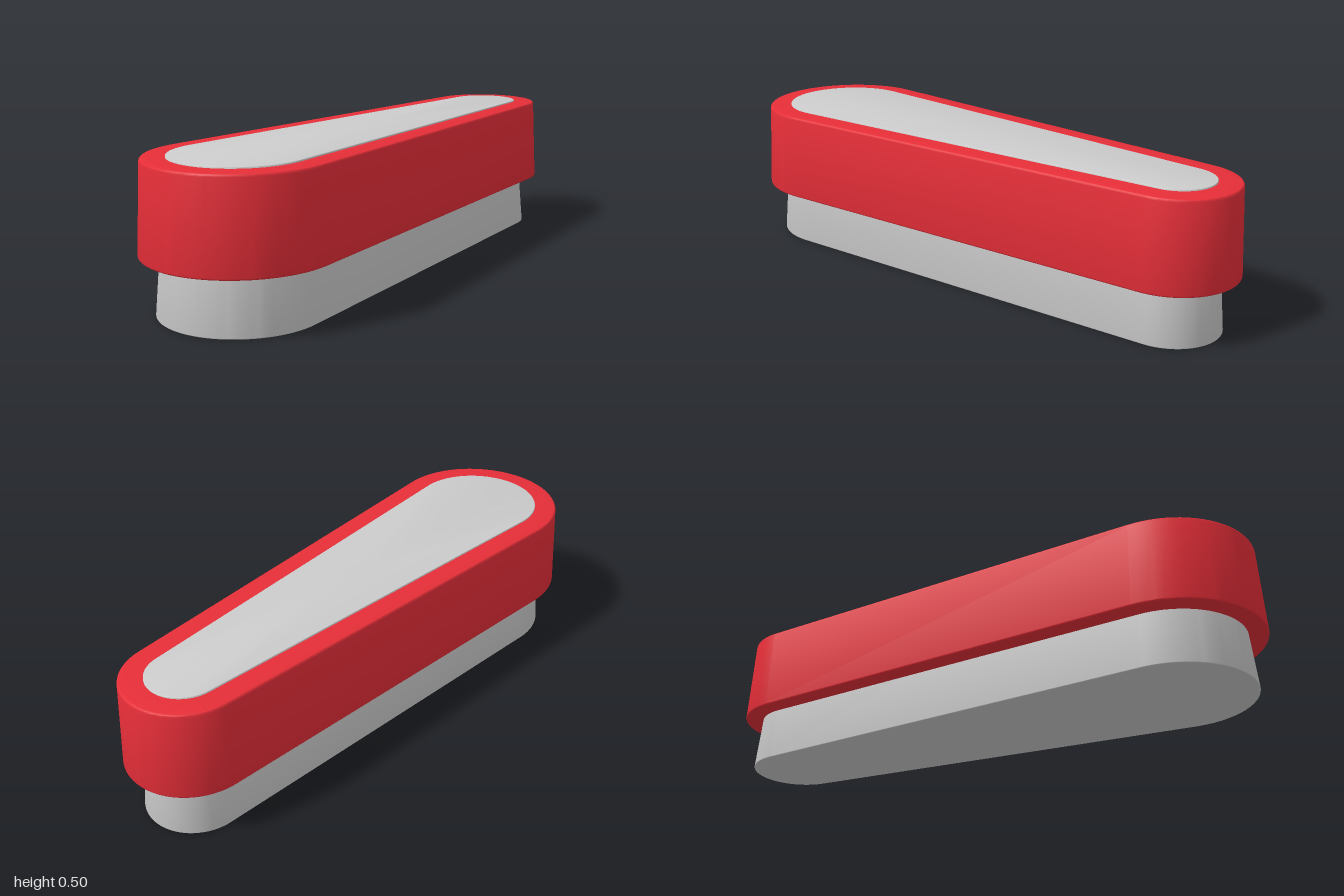
import * as THREE from 'three';
import { toCreasedNormals } from 'three/addons/utils/BufferGeometryUtils.js';

// Tapered capsule outline: a big round end at -x and a small one at +x
const BIG = { x: -0.685, r: 0.315 };
const SMALL = { x: 0.785, r: 0.215 };
const ARC = 40;

function outline(inset) {
  const lean = Math.asin((BIG.r - SMALL.r) / (SMALL.x - BIG.x));
  const half = Math.PI / 2 - lean;
  const points = [];
  const arc = (end, from, to) => {
    for (let i = 0; i <= ARC; i++) {
      const t = from + (to - from) * i / ARC;
      points.push([end.x + (end.r - inset) * Math.cos(t), -(end.r - inset) * Math.sin(t)]);
    }
  };
  arc(SMALL, -half, half);
  arc(BIG, half, 2 * Math.PI - half);
  return points;
}

// Quarter-round corner in (inset, y), from angle a0 to a1
function fillet(inset, y, radius, a0, a1) {
  return Array.from({ length: 5 }, (_, i) => {
    const a = a0 + (a1 - a0) * i / 4;
    return [inset - radius * Math.cos(a), y + radius * Math.sin(a)];
  });
}

// Skin a profile of [inset, y] points around the outline, optionally capped
function sweep(profile, capped) {
  const positions = [], index = [];
  const n = 2 * (ARC + 1);
  for (const [inset, y] of profile)
    for (const [x, z] of outline(inset)) positions.push(x, y, z);
  for (let j = 0; j < profile.length - 1; j++)
    for (let i = 0; i < n; i++) {
      const k = (i + 1) % n;
      const a = j * n + i, b = j * n + k;
      index.push(a, b, b + n, a, b + n, a + n);
    }
  if (capped) {
    const last = profile.length - 1;
    const bottom = positions.length / 3, top = bottom + 1;
    positions.push(0, profile[0][1], 0, 0, profile[last][1], 0);
    for (let i = 0; i < n; i++) {
      const k = (i + 1) % n;
      index.push(bottom, k, i, top, last * n + i, last * n + k);
    }
  }
  const geometry = new THREE.BufferGeometry();
  geometry.setAttribute('position', new THREE.Float32BufferAttribute(positions, 3));
  geometry.setIndex(index);
  return toCreasedNormals(geometry, Math.PI / 6);
}

function part(name, geometry, color) {
  const mesh = new THREE.Mesh(geometry, new THREE.MeshStandardMaterial({ color }));
  mesh.name = name;
  return mesh;
}

export function createModel() {
  const group = new THREE.Group();
  group.name = 'taperedBlock';
  const Q = Math.PI / 2;

  // Drafted core running from the floor up through the band
  const core = [
    ...fillet(0.05, 0.003, 0.003, -Q, 0),
    ...fillet(0.095, 0.495, 0.002, 0, Q),
  ];
  group.add(part('core', sweep(core, true), 0xcccccc));

  // Wide band around the core with softened rims
  const band = [
    [0.07, 0.19],
    ...fillet(0.006, 0.196, 0.006, -Q, 0),
    ...fillet(0.023, 0.484, 0.008, 0, Q),
    [0.1, 0.492],
  ];
  group.add(part('band', sweep(band, false), 0xe62e38));

  return group;
}
